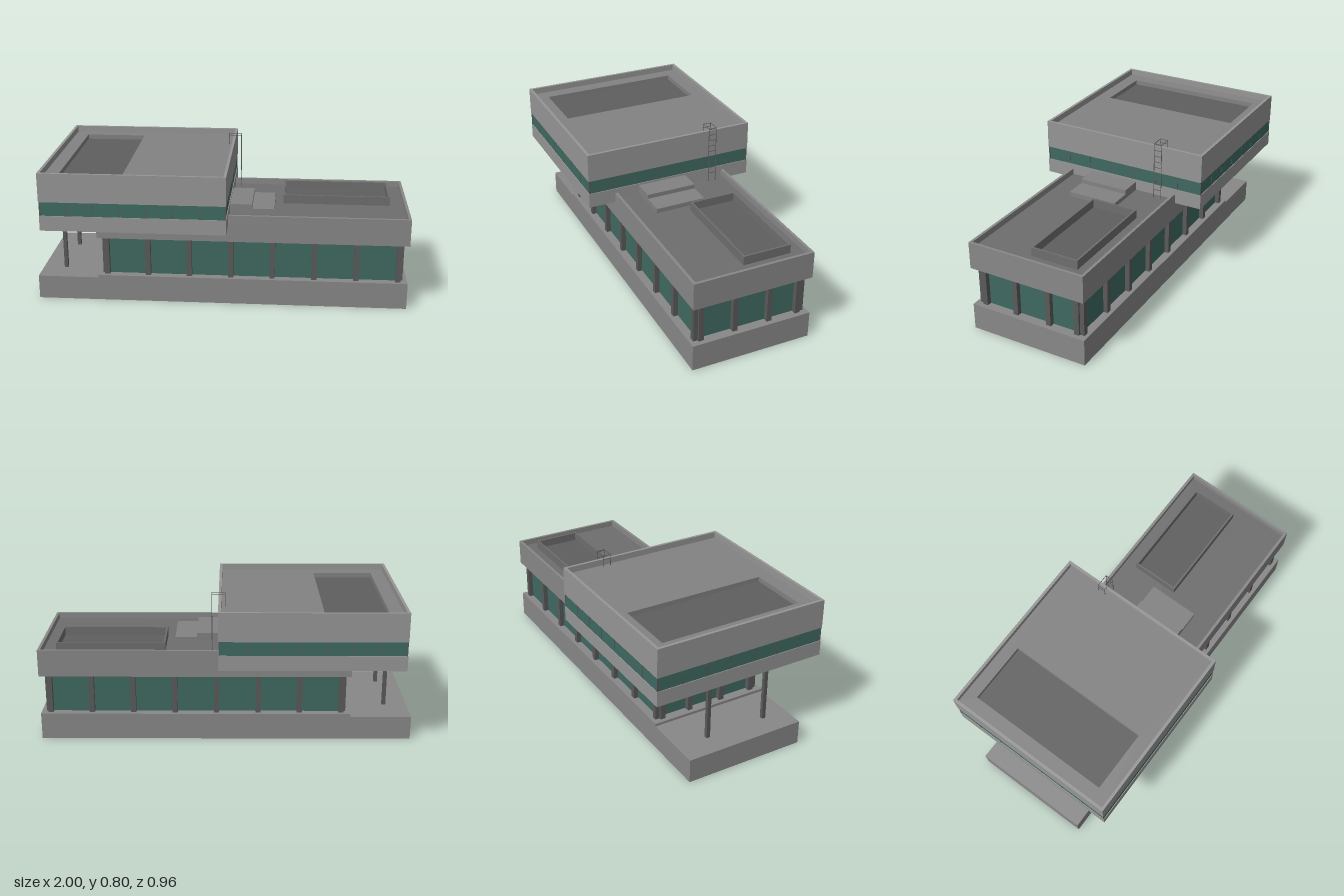
import * as THREE from 'three';

const paint = (color) => new THREE.MeshStandardMaterial({ color });
const wall = paint(0x888888);
const upperWall = paint(0x969696);
const roof = paint(0x6e6e6e);
const paleRoof = paint(0x828282);
const darkFloor = paint(0x5f5f5f);
const dark = paint(0x5a5a5a);
const glass = paint(0x3f6a61);

export function createModel() {
  const model = new THREE.Group();

  const add = (name, geometry, material, parent = model) => {
    const mesh = new THREE.Mesh(geometry, material);
    mesh.name = name;
    parent.add(mesh);
    return mesh;
  };

  const group = (name) => {
    const g = new THREE.Group();
    g.name = name;
    model.add(g);
    return g;
  };

  // Box given by its limits on each axis
  const box = (name, [x0, x1], [y0, y1], [z0, z1], material, parent) => {
    const mesh = add(name, new THREE.BoxGeometry(x1 - x0, y1 - y0, z1 - z0), material, parent);
    mesh.position.set((x0 + x1) / 2, (y0 + y1) / 2, (z0 + z1) / 2);
  };

  // Upright slab with a rectangular opening: outer and hole are [x0, x1, z0, z1]
  const corners = ([x0, x1, z0, z1]) => [[x0, -z1], [x1, -z1], [x1, -z0], [x0, -z0]]
    .map(([x, y]) => new THREE.Vector2(x, y));
  const frame = (name, outer, hole, y0, y1, material) => {
    const shape = new THREE.Shape(corners(outer));
    shape.holes.push(new THREE.Path(corners(hole)));
    const geometry = new THREE.ExtrudeGeometry(shape, { depth: y1 - y0, bevelEnabled: false });
    geometry.rotateX(-Math.PI / 2);
    geometry.translate(0, y0, 0);
    add(name, geometry, material);
  };
  const inset = ([x0, x1, z0, z1], d) => [x0 + d, x1 - d, z0 + d, z1 - d];

  // Ground floor: terrace, plinth, glazing, roof
  box('terrace', [-1, -0.67], [0, 0.13], [-0.33, 0.33], wall);
  box('plinth', [-0.67, 1], [0, 0.145], [-0.33, 0.33], wall);
  box('lowerGlazing', [-0.62, 0.948], [0.145, 0.36], [-0.285, 0.285], glass);
  const lower = [-0.67, 1, -0.33, 0.33];
  box('lowerFascia', [-0.67, 1], [0.36, 0.465], [-0.33, 0.33], wall);
  frame('lowerParapet', lower, inset(lower, 0.015), 0.465, 0.508, wall);
  box('lowerRoof', [-0.655, 0.985], [0.465, 0.475], [-0.315, 0.315], roof);

  // Columns proud of the glass along the long sides and both ends
  const columns = group('columns');
  for (const s of [-1, 1]) {
    for (let i = 0; i < 8; i++) {
      const x = -0.622 + i * 0.2245;
      box('sideColumn', [x - 0.014, x + 0.014], [0.145, 0.36],
        [s * 0.296 - 0.014, s * 0.296 + 0.014], dark, columns);
    }
  }
  for (const x of [-0.634, 0.961]) {
    for (const z of [-0.272, -0.108, 0.085, 0.272]) {
      box('endColumn', [x - 0.014, x + 0.014], [0.145, 0.36], [z - 0.014, z + 0.014], dark, columns);
    }
  }

  // Pillars carrying the overhang
  for (const z of [-0.15, 0.19]) {
    box('pillar', [-0.885, -0.865], [0.13, 0.455], [z - 0.01, z + 0.01], dark);
  }

  // Upper floor with a ribbon window and a sunken roof bay
  const upper = [-0.935, 0.04, -0.48, 0.48];
  const bay = [-0.845, -0.51, -0.4, 0.39];
  box('upperBase', [-0.935, 0.04], [0.453, 0.535], [-0.48, 0.48], upperWall);
  box('upperGlazing', [-0.931, 0.036], [0.535, 0.61], [-0.476, 0.476], glass);
  box('upperFascia', [-0.935, 0.04], [0.61, 0.7], [-0.48, 0.48], upperWall);
  frame('upperParapet', upper, inset(upper, 0.015), 0.7, 0.766, upperWall);
  frame('upperRoof', inset(upper, 0.015), bay, 0.7, 0.732, paleRoof);
  box('bayFloor', [bay[0], bay[1]], [0.7, 0.706], [bay[2], bay[3]], darkFloor);

  // Thin mullions around the ribbon window
  const mullions = group('mullions');
  const m = 0.0025;
  for (let i = 0; i < 8; i++) {
    const x = -0.931 + i * 0.967 / 7;
    const z = -0.476 + i * 0.952 / 7;
    for (const s of [-1, 1]) {
      box('mullion', [x - m, x + m], [0.535, 0.61], [s * 0.475 - m, s * 0.475 + m], dark, mullions);
    }
    for (const px of [-0.93, 0.035]) {
      box('mullion', [px - m, px + m], [0.535, 0.61], [z - m, z + m], dark, mullions);
    }
  }

  // Lower roof: open planter and two stepped units
  const planter = [0.325, 0.912, -0.247, 0.017];
  frame('planterWalls', planter, inset(planter, 0.01), 0.475, 0.524, roof);
  box('planterFloor', [0.335, 0.902], [0.475, 0.478], [-0.237, 0.007], darkFloor);
  box('upperStep', [0.04, 0.16], [0.475, 0.524], [-0.09, 0.19], paleRoof);
  box('lowerStep', [0.16, 0.28], [0.475, 0.5], [-0.09, 0.19], paleRoof);

  // Roof ladder bent over the upper parapet
  const ladder = group('ladder');
  const r = 0.0012;
  const [back, front] = [-0.261, -0.217];
  for (const z of [back, front]) {
    box('ladderRail', [0.075 - r, 0.075 + r], [0.475, 0.797], [z - r, z + r], dark, ladder);
    box('ladderHook', [0.005 - r, 0.075 + r], [0.797 - 2 * r, 0.797], [z - r, z + r], dark, ladder);
    box('ladderFoot', [0.005 - r, 0.005 + r], [0.732, 0.797], [z - r, z + r], dark, ladder);
  }
  const rung = (x, y) =>
    box('ladderRung', [x - r, x + r], [y - r, y + r], [back, front], dark, ladder);
  for (let i = 0; i < 9; i++) rung(0.075, 0.525 + i * 0.0332);
  rung(0.005, 0.775);
  rung(0.005, 0.7958);
  rung(0.075, 0.7958);

  return model;
}
